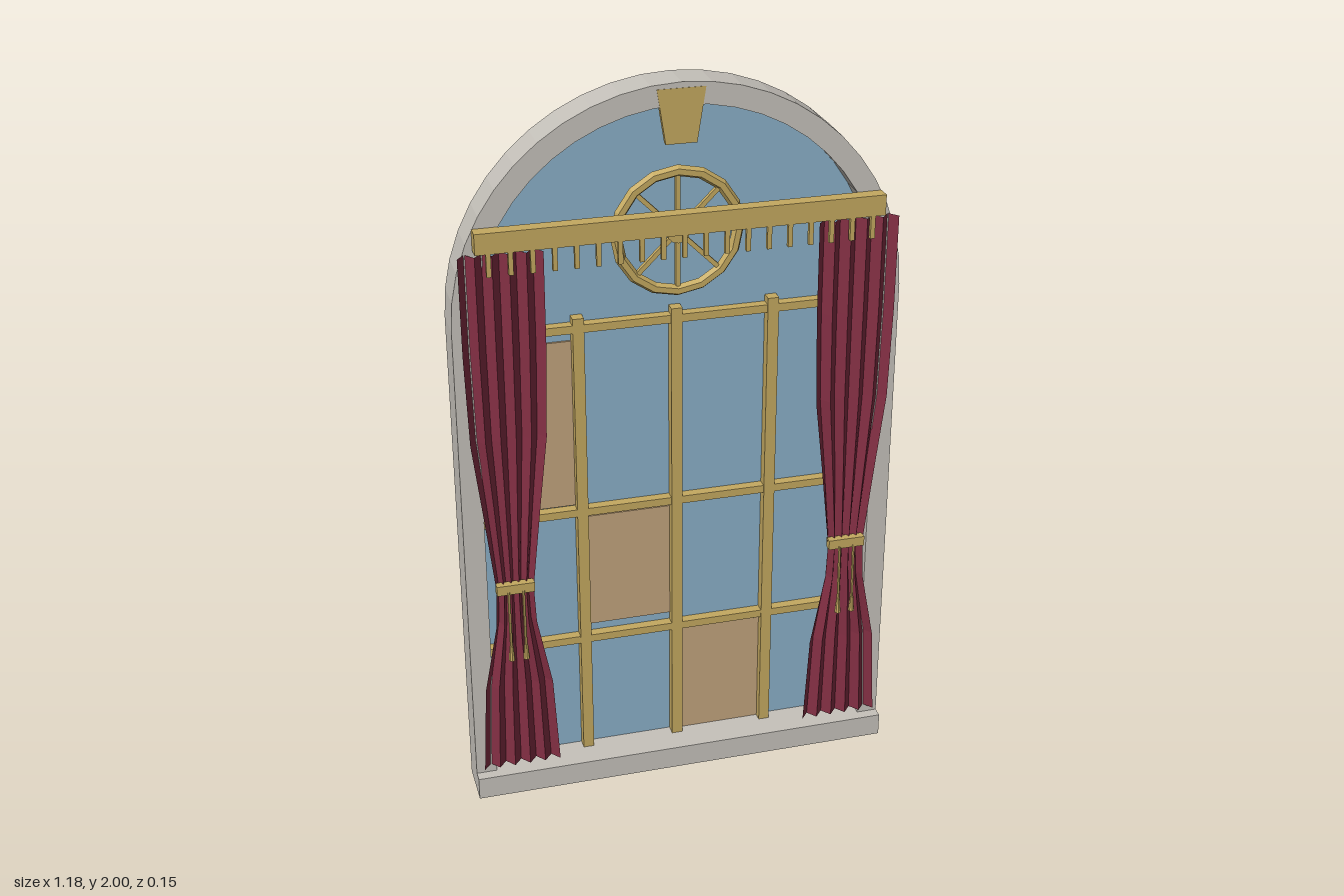
import * as THREE from 'three';

const mat = (name, color, opts = {}) => {
  const m = new THREE.MeshStandardMaterial({ color, ...opts });
  m.name = name;
  return m;
};

export function createModel() {
  const stone = mat('stone', 0xc6c2bb);
  const glass = mat('blue glass', 0x8ab0c8);
  const amber = mat('amber glass', 0xc2a47d);
  const gold = mat('gold', 0xc4a960, { flatShading: true });
  const cloth = mat('red cloth', 0x842f44, { flatShading: true, side: THREE.DoubleSide });

  const model = new THREE.Group();
  model.name = 'archedWindow';
  const add = (name, geo, material, parent = model) => {
    const m = new THREE.Mesh(geo, material);
    m.name = name;
    parent.add(m);
    return m;
  };
  // Box given by its limits on each axis
  const box = (name, [x0, x1], [y0, y1], [z0, z1], material, parent) => {
    const m = add(name, new THREE.BoxGeometry(x1 - x0, y1 - y0, z1 - z0), material, parent);
    m.position.set((x0 + x1) / 2, (y0 + y1) / 2, (z0 + z1) / 2);
    return m;
  };
  const extrude = (shape, z0, z1) =>
    new THREE.ExtrudeGeometry(shape, { depth: z1 - z0, bevelEnabled: false, curveSegments: 12 }).translate(0, 0, z0);

  // Arched stone surround, open at the bottom, and its sill
  const R = 0.59, r = 0.533, spring = 1.41, back = -0.075, front = 0.027;
  const surround = new THREE.Shape();
  surround.moveTo(R, 0);
  surround.lineTo(R, spring);
  surround.absarc(0, spring, R, 0, Math.PI, false);
  surround.lineTo(-R, 0);
  surround.lineTo(-r, 0);
  surround.lineTo(-r, spring);
  surround.absarc(0, spring, r, Math.PI, 0, true);
  surround.lineTo(r, 0);
  add('stoneSurround', extrude(surround, back, front), stone);
  box('sillBack', [-r, r], [0, 0.065], [back, front], stone);
  box('sill', [-R, R], [0, 0.065], [front, 0.057], stone);

  // Lower glass flush with the back, and recessed arched upper glass
  const pane = -0.045;
  box('lowerGlass', [-r, r], [0.035, spring], [back - 0.0005, pane], glass);
  const half = new THREE.Shape();
  half.absarc(0, spring, r, 0, Math.PI, false);
  add('upperGlass', extrude(half, pane - 0.003, pane), glass);

  // Amber panes
  for (const [x, y] of [
    [[-0.51, -0.275], [0.84, 1.32]],
    [[-0.245, -0.015], [0.46, 0.8]],
    [[0.015, 0.245], [0.065, 0.4]],
  ]) box('amberPane', x, y, [pane, pane + 0.006], amber);

  // Glazing bars
  for (const x of [-0.26, 0, 0.26]) box('uprightBar', [x - 0.015, x + 0.015], [0.065, 1.39], [pane, -0.015], gold);
  for (const y of [0.425, 0.825, 1.36]) box('crossBar', [-r, r], [y - 0.011, y + 0.011], [pane, -0.018], gold);

  // Round rosette with spokes
  const rosette = new THREE.Group();
  rosette.name = 'rosette';
  rosette.position.set(0, 1.604, -0.01);
  model.add(rosette);
  add('rosetteRing', new THREE.TorusGeometry(0.16, 0.015, 6, 16), gold, rosette);
  add('rosetteHub', new THREE.CylinderGeometry(0.03, 0.03, 0.02, 12).rotateX(Math.PI / 2), gold, rosette);
  for (let i = 0; i < 4; i++) {
    add('spoke', new THREE.BoxGeometry(0.32, 0.012, 0.012), gold, rosette).rotation.z = (i * Math.PI) / 4;
  }

  // Keystone
  const key = new THREE.Shape([[-0.04, 1.845], [0.04, 1.845], [0.062, 1.985], [-0.062, 1.985]]
    .map(([x, y]) => new THREE.Vector2(x, y)));
  add('keystone', extrude(key, 0.012, front + 0.001), gold);

  // Pelmet with hanging fringe
  box('pelmet', [-0.528, 0.528], [1.62, 1.675], [front, 0.064], gold);
  for (let i = 0; i < 19; i++) {
    const x = -0.495 + i * 0.055;
    box('fringe', [x - 0.006, x + 0.006], [1.56, 1.62], [0.052, 0.064], gold);
  }

  // Pleated curtain: rows of [height, half width], folded in a wave that dips behind the stone face
  const rows = [[1.61, 0.107], [1.35, 0.106], [1.1, 0.099], [0.9, 0.076], [0.66, 0.05],
    [0.55, 0.055], [0.35, 0.093], [0.09, 0.107]];
  const folds = 10;
  const curtainGeometry = () => {
    const g = new THREE.PlaneGeometry(1, 1, folds, rows.length - 1);
    const p = g.attributes.position;
    for (let i = 0; i < p.count; i++) {
      const col = i % (folds + 1);
      const [y, w] = rows[Math.floor(i / (folds + 1))];
      p.setXYZ(i, (col / folds * 2 - 1) * w, y, col % 2 ? 0.025 : 0.051);
    }
    g.computeVertexNormals();
    return g;
  };

  for (const side of [-1, 1]) {
    const drape = new THREE.Group();
    drape.name = side < 0 ? 'rightDrape' : 'leftDrape';
    drape.position.x = side * 0.463;
    model.add(drape);
    add('curtain', curtainGeometry(), cloth, drape);
    box('tieBand', [-0.051, 0.051], [0.652, 0.68], [0.04, 0.063], gold, drape);
    // Two tassels on cords
    for (const x of [-0.02, 0.02]) {
      const path = new THREE.LineCurve3(new THREE.Vector3(x, 0.66, 0.062), new THREE.Vector3(x, 0.48, 0.067));
      add('cord', new THREE.TubeGeometry(path, 1, 0.004, 6), gold, drape);
      add('tassel', new THREE.CylinderGeometry(0.005, 0.009, 0.045, 8), gold, drape).position.set(x, 0.472, 0.067);
    }
  }
  return model;
}
